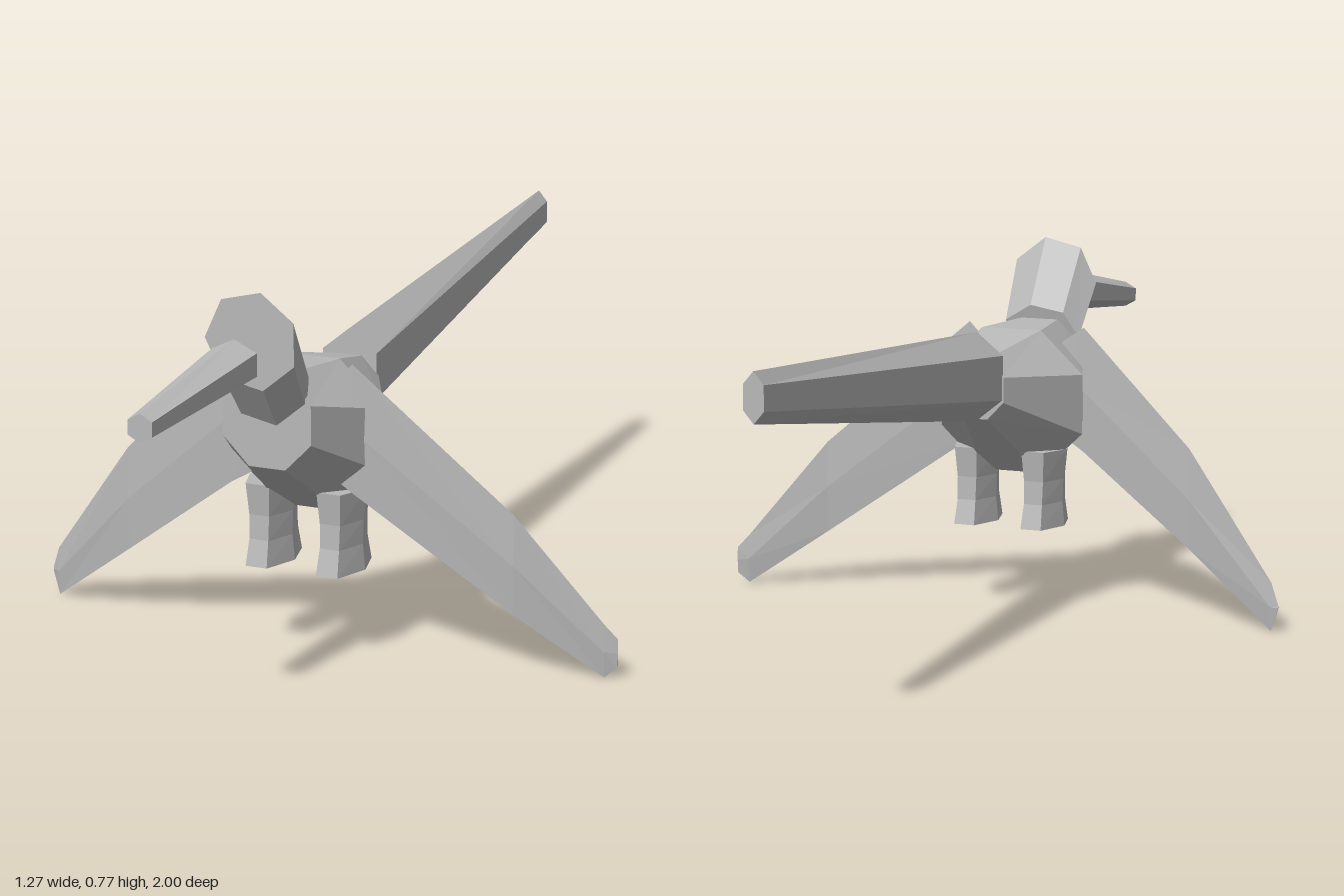
import * as THREE from 'three';

const grey = new THREE.MeshStandardMaterial({ color: 0xb8b8b8 });
grey.name = 'grey';
grey.flatShading = true;

// Regular n-sided oval; place(u, v) turns unit circle coordinates into a point
function oval(n, phase, place) {
  return Array.from({ length: n }, (_, i) => {
    const a = THREE.MathUtils.degToRad(phase) + (i / n) * Math.PI * 2;
    return new THREE.Vector3(...place(Math.cos(a), Math.sin(a)));
  });
}

// Upright oval facing along z, leaning back by tilt at its top
const ringZ = (n, phase, cx, cy, z, rx, ry, tilt = 0) =>
  oval(n, phase, (u, v) => [cx + rx * u, cy + ry * v, z - tilt * v]);

// Closed skin through a row of rings, capped at both ends, faces outward
function loft(name, rings) {
  const tris = [];
  const n = rings[0].length;
  for (let r = 0; r < rings.length - 1; r++) {
    for (let i = 0; i < n; i++) {
      const j = (i + 1) % n;
      const [a, b, c, d] = [rings[r][i], rings[r][j], rings[r + 1][j], rings[r + 1][i]];
      tris.push([a, b, c], [a, c, d]);
    }
  }
  const last = rings[rings.length - 1];
  for (let i = 1; i < n - 1; i++) {
    tris.push([rings[0][0], rings[0][i + 1], rings[0][i]], [last[0], last[i], last[i + 1]]);
  }
  const volume = tris.reduce((s, [a, b, c]) => s + a.dot(b.clone().cross(c)), 0);
  if (volume < 0) tris.forEach((t) => t.reverse());
  const geometry = new THREE.BufferGeometry().setFromPoints(tris.flat());
  geometry.computeVertexNormals();
  const mesh = new THREE.Mesh(geometry, grey);
  mesh.name = name;
  return mesh;
}

// Leg: six-sided column, pinched between hip and foot
function leg(name, x) {
  const profile = [[0.345, 0.052, 0.08], [0.28, 0.044, 0.072], [0.23, 0.042, 0.075], [0.177, 0.047, 0.09]];
  return loft(name, profile.map(([y, rx, rz]) =>
    oval(6, 0, (u, v) => [x + rx * u, y, 0.355 + rz * v])));
}

// Wing: thin blade swept backward; stations are [distance out, top y, bottom y]
function wing(name, side, stations) {
  const sweep = (x) => (x < 0.42 ? 0.4 - (x - 0.12) * 0.167 : 0.35 - (x - 0.42) * 0.325);
  return loft(name, stations.map(([x, top, bottom], i) => {
    const t = i === stations.length - 1 ? 0.001 : 0.005;
    const mid = (top + bottom) / 2;
    const z = sweep(x);
    return [[top, 0], [mid, t], [bottom, 0], [mid, -t]]
      .map(([y, dz]) => new THREE.Vector3(side * x, y, z + dz));
  }));
}

export function createModel() {
  const model = new THREE.Group();
  model.name = 'bird';

  model.add(loft('body', [
    ringZ(8, 22.5, 0, 0.51, 0.53, 0.103, 0.103),
    ringZ(8, 22.5, 0, 0.445, 0.35, 0.179, 0.168),
    ringZ(8, 22.5, 0, 0.495, 0.16, 0.068, 0.07),
  ]));

  // Head widens forward to a flat face
  model.add(loft('head', [
    ringZ(7, 78, 0, 0.68, 0.59, 0.1, 0.098),
    ringZ(7, 78, 0, 0.568, 0.515, 0.09, 0.068, 0.015),
  ]));

  // Beak floats ahead of the face
  model.add(loft('beak', [
    ringZ(6, 90, -0.012, 0.607, 1, 0.029, 0.028),
    ringZ(6, 90, -0.002, 0.653, 0.655, 0.055, 0.045),
  ]));

  model.add(loft('tail', [
    ringZ(6, 90, 0, 0.52, 0.165, 0.069, 0.095),
    ringZ(6, 90, -0.077, 0.638, -1, 0.024, 0.048),
  ]));

  model.add(leg('leftLeg', 0.079), leg('rightLeg', -0.077));

  model.add(wing('leftWing', 1, [
    [0.08, 0.56, 0.375], [0.12, 0.605, 0.345], [0.44, 0.325, 0.123], [0.61, 0.11, 0.003], [0.635, 0.082, 0.025],
  ]));
  model.add(wing('rightWing', -1, [
    [0.08, 0.56, 0.375], [0.15, 0.605, 0.335], [0.41, 0.365, 0.15], [0.62, 0.105, 0.003], [0.637, 0.06, 0.05],
  ]));

  return model;
}
